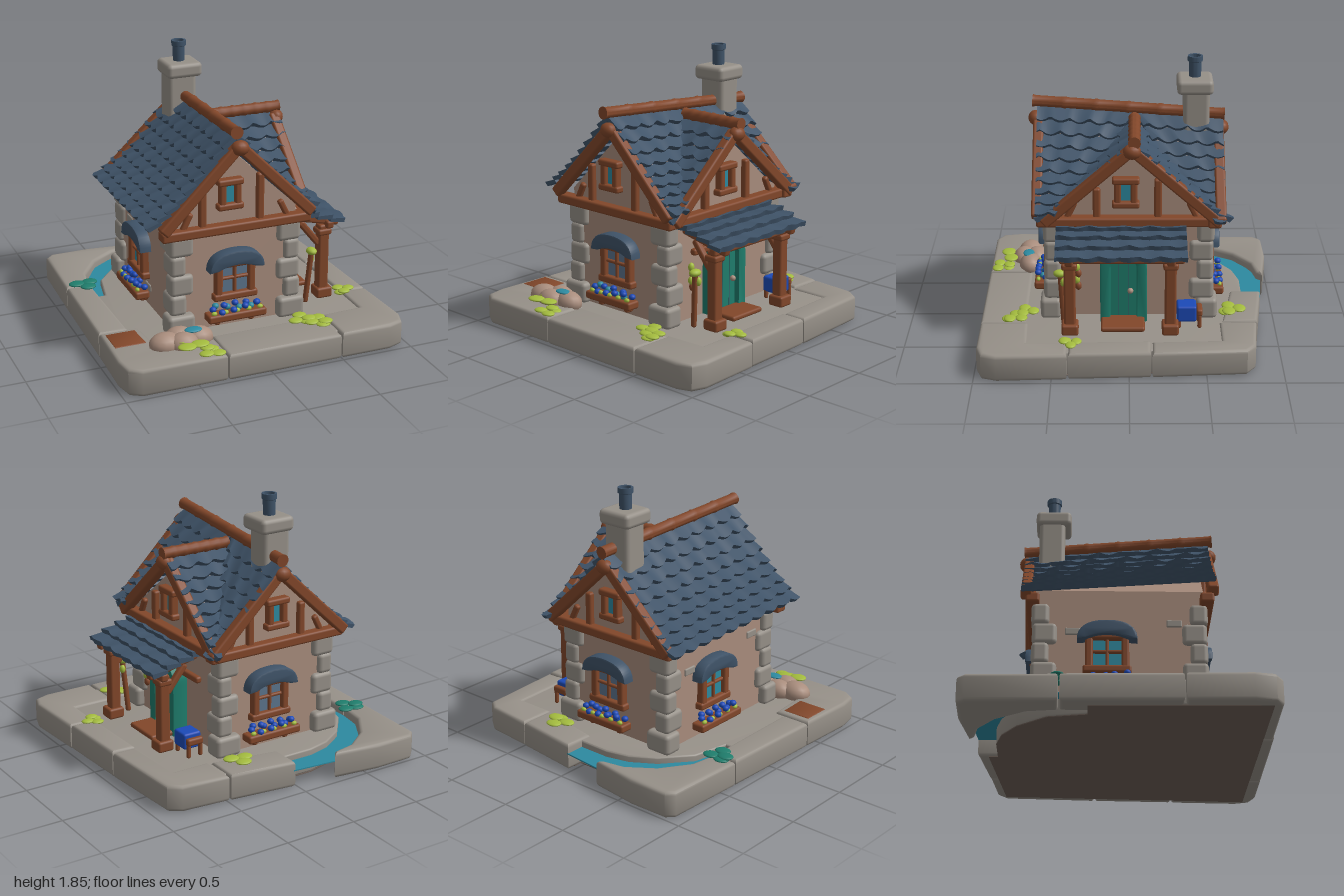
import * as THREE from 'three';
import { toCreasedNormals } from 'three/addons/utils/BufferGeometryUtils.js';
import { RoundedBoxGeometry } from 'three/addons/geometries/RoundedBoxGeometry.js';

const colours = {
  stone: 0x969088, plaster: 0xa98d7d, wood: 0x82472a, slate: 0x3f5368, door: 0x1f7d6c,
  water: 0x2d8aa0, flower: 0x1c4ab8, leaf: 0xa3bb3e, glass: 0x5c748c, earth: 0x6e6058,
};
const mat = {};
for (const [name, color] of Object.entries(colours)) {
  mat[name] = new THREE.MeshStandardMaterial({ color });
  mat[name].name = name;
}
mat.slate.side = THREE.DoubleSide;
const V = (a) => new THREE.Vector3(...a);
const lerp = THREE.MathUtils.lerp;

function add(parent, name, geo, material, pos = [0, 0, 0]) {
  const m = new THREE.Mesh(geo, material);
  m.name = name;
  m.position.set(...pos);
  parent.add(m);
  return m;
}
function box(parent, name, material, size, pos, r = 0.015) {
  return add(parent, name, new RoundedBoxGeometry(...size, 2, Math.min(r, Math.min(...size) * 0.45)), material, pos);
}
// Squared timber between two points
function beam(parent, name, a, b, w = 0.06, d = w) {
  const A = V(a), B = V(b), dir = B.clone().sub(A);
  const m = box(parent, name, mat.wood, [w, dir.length(), d], A.clone().add(B).multiplyScalar(0.5).toArray());
  m.quaternion.setFromUnitVectors(V([0, 1, 0]), dir.normalize());
  return m;
}
function blob(parent, name, material, pos, scale) {
  const m = add(parent, name, new THREE.SphereGeometry(1, 14, 10), material, pos);
  m.scale.set(...scale);
  return m;
}
// Round log with a few raised bands
function log(parent, name, a, b, r) {
  const A = V(a), B = V(b), len = A.distanceTo(B), pts = [[0, 0]];
  for (let i = 0; i <= 6; i++) {
    const y = (i / 6) * len;
    pts.push([r, Math.max(0, y - 0.02)], [r * 1.13, y], [r, Math.min(len, y + 0.02)]);
  }
  pts.push([0, len]);
  const g = new THREE.LatheGeometry(pts.map(p => new THREE.Vector2(...p)), 14);
  const m = add(parent, name, toCreasedNormals(g, 0.7), mat.wood, a);
  m.quaternion.setFromUnitVectors(V([0, 1, 0]), B.sub(A).normalize());
}
// Flat slab from an outline in x and z
function slab(parent, name, material, outline, y0, y1, bevel = 0.025) {
  const s = new THREE.Shape(outline.map(([x, z]) => new THREE.Vector2(x, -z)));
  const g = new THREE.ExtrudeGeometry(s, {
    depth: y1 - y0 - 2 * bevel, bevelEnabled: bevel > 0, bevelThickness: bevel, bevelSize: bevel,
    bevelOffset: -bevel, bevelSegments: 3,
  });
  g.rotateX(-Math.PI / 2);
  return add(parent, name, toCreasedNormals(g, 0.8), material, [0, y0 + bevel, 0]);
}
// Rows of scalloped shingles; P(s, v) gives a point, v runs down the slope
function roofSlope(parent, name, P, normal, range, rows) {
  const N = V(normal).normalize(), pos = [], idx = [];
  for (let i = 0; i < rows; i++) {
    const v0 = i / rows, v1 = (i + 1) / rows, [a0, b0] = range(v0), [a1, b1] = range(v1);
    const n = Math.max(2, Math.ceil((b0 - a0) / 0.022));
    const base = pos.length / 3;
    for (let j = 0; j <= n; j++) {
      const s0 = lerp(a0, b0, j / n), s1 = lerp(a1, b1, j / n);
      const vb = v1 + 0.035 * Math.abs(Math.sin(Math.PI * (s1 / 0.13 + i * 0.5))) - 0.01;
      const lift = 0.036 + 0.006 * Math.sin(s1 * 31 + i * 7);
      for (const [s, v, o] of [[s0, v0, 0.004], [s1, vb, lift], [s1, vb, 0], [s0, v0, -0.02]])
        pos.push(...P(s, v).addScaledVector(N, o).toArray());
      for (let k = 0; k < 4 && j < n; k++) {
        const p = base + j * 4 + k, q = base + j * 4 + (k + 1) % 4;
        idx.push(p, q, p + 4, q, q + 4, p + 4);
      }
    }
    const e = base + n * 4;
    idx.push(base, base + 2, base + 1, base, base + 3, base + 2, e, e + 1, e + 2, e, e + 2, e + 3);
  }
  const g = new THREE.BufferGeometry();
  g.setAttribute('position', new THREE.Float32BufferAttribute(pos, 3));
  g.setIndex(idx);
  add(parent, name, toCreasedNormals(g, 0.6), mat.slate);
}
function side(parent, name, pos, turn) {
  const g = new THREE.Group();
  g.name = name;
  g.position.set(...pos);
  g.rotation.y = turn;
  parent.add(g);
  return g;
}
// Framed window facing +z, centred on its own origin
function frame(g, w, h, t, glass) {
  box(g, 'windowPane', glass, [w - t, h - t, 0.009], [0, 0, 0.012], 0.002);
  for (const s of [-1, 1]) {
    box(g, 'windowJamb', mat.wood, [t, h, 0.06], [s * (w - t) / 2, 0, 0.02]);
    box(g, 'windowRail', mat.wood, [w + 0.03, t, 0.07], [0, s * (h - t) / 2, 0.02]);
  }
}
function largeWindow(parent, name, pos, turn, glass, teal) {
  const g = side(parent, name, pos, turn);
  frame(g, 0.28, 0.28, 0.05, glass);
  box(g, 'mullion', mat.wood, [0.022, 0.22, 0.03], [0, 0, 0.02]);
  box(g, 'transom', mat.wood, [0.22, 0.022, 0.03], [0, 0.01, 0.02]);
  // Arched hood
  const s = new THREE.Shape();
  s.moveTo(-0.18, 0.09);
  s.quadraticCurveTo(-0.17, 0.2, 0, 0.2);
  s.quadraticCurveTo(0.17, 0.2, 0.18, 0.09);
  s.lineTo(0.14, 0.095);
  s.quadraticCurveTo(0, 0.155, -0.14, 0.095);
  const hood = new THREE.ExtrudeGeometry(s, { depth: 0.07, bevelSize: 0.012, bevelThickness: 0.012, bevelSegments: 2 });
  add(g, 'windowHood', toCreasedNormals(hood, 0.7), mat.slate);
  // Planter
  box(g, 'planter', mat.wood, [0.41, 0.055, 0.1], [-0.01, -0.235, 0.065]);
  for (const x of [-0.13, 0.11]) box(g, 'planterBracket', mat.wood, [0.04, 0.06, 0.06], [x, -0.275, 0.03]);
  for (let i = 0; i < 13; i++) {
    const x = -0.17 + i * 0.027, y = -0.18 + 0.018 * Math.sin(i * 2.4), z = 0.065 + 0.03 * Math.sin(i * 4.1);
    blob(g, 'blossom', teal && i % 3 === 1 ? mat.water : mat.flower, [x, y, z], [0.023, 0.02, 0.023]);
    if (i % 3 === 0) blob(g, 'planterLeaf', mat.leaf, [x, -0.2, 0.09], [0.02, 0.015, 0.015]);
  }
}
// Timber-framed gable facing +z; y is absolute
function gable(parent, name, pos, turn, half, low, apex, posts, winX, winY) {
  const g = side(parent, name, pos, turn);
  beam(g, 'tieBeam', [-half - 0.02, 0.87, 0.02], [half + 0.02, 0.87, 0.02], 0.065, 0.09);
  for (const s of [-1, 1]) {
    beam(g, 'bargeBoard', [s * (half + 0.02), low, 0.06], [0, apex, 0.06], 0.075, 0.07);
    beam(g, 'brace', [s * (half - 0.13), 0.88, 0.01], [s * (half - 0.19), 1.0, 0.01], 0.04, 0.04);
  }
  for (const x of posts) beam(g, 'gablePost', [x, 0.88, 0.01], [x, apex - Math.abs(x) * 1.05 - 0.04, 0.01], 0.05, 0.05);
  blob(g, 'gableKnob', mat.wood, [0, apex - 0.01, 0.08], [0.06, 0.05, 0.05]);
  frame(side(g, 'atticWindow', [winX, winY, 0], 0), 0.15, 0.21, 0.045, mat.water);
}
function leaves(parent, name, x, z, r, material = mat.leaf, y = 0.185) {
  for (let i = 0; i < 4; i++) {
    const a = i * 1.9 + x * 3;
    blob(parent, name, material, [x + Math.cos(a) * r * 0.6, y + 0.004 * i, z + Math.sin(a) * r * 0.6], [r * 0.62, 0.014, r * 0.5]);
  }
}

export function createModel() {
  const model = new THREE.Group();
  model.name = 'cottage';

  // Ground: yard, kerb stones and stream
  const bank = [[-0.73, -0.2], [-0.68, -0.45], [-0.52, -0.64], [-0.36, -0.74], [-0.2, -0.78], [0.03, -0.78]];
  const yard = [...bank, [0.03, -0.84], [0.84, -0.76], [0.92, 0.9], [-0.9, 0.92], [-0.88, -0.2]];
  slab(model, 'yard', mat.stone, yard, 0.005, 0.168, 0.012);
  slab(model, 'underside', mat.earth, yard, 0, 0.006, 0);
  slab(model, 'stream', mat.water, [[-0.8, -0.2], ...bank, [0.03, -0.91], [-0.3, -0.94], [-0.6, -0.8], [-0.78, -0.5]], 0.115, 0.123, 0);
  const kerbs = [
    [[-0.93, -0.94], [-0.88, -0.99], [-0.6, -0.995], [-0.27, -0.95], [-0.3, -0.91], [-0.45, -0.88], [-0.62, -0.76], [-0.75, -0.57], [-0.78, -0.38], [-0.95, -0.38]],
    [[-0.95, -0.37], [-0.78, -0.37], [-0.77, 0.38], [-0.97, 0.38]],
    [[-0.97, 0.39], [-0.7, 0.39], [-0.68, 0.64], [-0.31, 0.66], [-0.31, 0.98], [-0.88, 0.98], [-0.96, 0.93], [-0.985, 0.8]],
    [[-0.3, 0.68], [0.49, 0.68], [0.49, 0.985], [-0.3, 0.985]],
    [[0.5, 0.67], [0.78, 0.66], [0.78, 0.4], [0.965, 0.4], [0.985, 0.85], [0.95, 0.95], [0.85, 0.985], [0.5, 0.985]],
    [[0.77, -0.14], [0.94, -0.14], [0.96, 0.39], [0.78, 0.39]],
    [[0.49, -0.6], [0.49, -0.85], [0.82, -0.82], [0.9, -0.76], [0.94, -0.15], [0.77, -0.15], [0.75, -0.6]],
    [[0.02, -0.7], [0.02, -0.91], [0.48, -0.855], [0.48, -0.62]],
  ];
  kerbs.forEach((k, i) => slab(model, 'kerbStone', mat.stone, k, 0.002, 0.182 + (i % 3) * 0.003));
  slab(model, 'doorMat', mat.wood, [[-0.94, 0.43], [-0.74, 0.43], [-0.73, 0.63], [-0.94, 0.63]], 0.15, 0.193, 0.008);

  // Walls with gable tops
  box(model, 'walls', mat.plaster, [0.85, 0.72, 1.06], [-0.075, 0.51, 0]);
  const prism = (name, pts, len) => add(model, name, new THREE.ExtrudeGeometry(
    new THREE.Shape(pts.map(p => new THREE.Vector2(...p))), { depth: len, bevelEnabled: false }), mat.plaster);
  prism('mainAttic', [[-0.5, 0.85], [0.35, 0.85], [0.35, 0.95], [-0.08, 1.36], [-0.5, 0.95]], 1.08).position.z = -0.54;
  const cross = prism('crossAttic', [[-0.52, 0.85], [0.52, 0.85], [0.52, 0.9], [0.03, 1.33], [-0.52, 0.9]], 0.42);
  cross.rotation.y = Math.PI / 2;
  cross.position.x = -0.05;

  // Corner stones
  for (const sx of [-1, 1]) for (const sz of [-1, 1]) for (let i = 0; i < 5; i++) {
    const w = i % 2 ? 0.11 : 0.16, d = i % 2 ? 0.16 : 0.11, out = i === 0 ? 0.03 : 0.003 * ((i * 2) % 3);
    box(model, 'cornerStone', mat.stone, [w + out, 0.145, d + out],
      [-0.075 + sx * (0.455 + out / 2 - w / 2), 0.232 + i * 0.136, sz * (0.56 + out / 2 - d / 2)], 0.03);
  }
  [[0.35, 0.72], [0.05, 0.3], [-0.3, 0.66]].forEach(([z, y]) => box(model, 'wallBrick', mat.stone, [0.02, 0.05, 0.1], [-0.5, y, z]));

  // Main roof
  const ridge = (z) => [-0.07 - 0.05 * z, 1.465 + 0.06 * z];
  const mainP = (s) => (z, v) => {
    const [rx, ry] = ridge(z), ex = s < 0 ? -0.655 - 0.04 * z : 0.465;
    return V([lerp(rx, ex, v), lerp(ry, 0.915 + 0.05 * z, v) - 0.045 * Math.sin(Math.PI * v), z]);
  };
  roofSlope(model, 'roofLeft', mainP(-1), [-0.67, 0.74, 0], () => [-0.63, 0.61], 9);
  roofSlope(model, 'roofRightFront', mainP(1), [0.67, 0.74, 0], v => [-0.04 + 0.52 * v, 0.61], 9);
  roofSlope(model, 'roofRightBack', mainP(1), [0.67, 0.74, 0], v => [-0.63, -0.04 - 0.52 * v], 9);
  log(model, 'mainRidge', [-0.05, 1.455, -0.64], [-0.11, 1.53, 0.64], 0.038);

  // Cross roof
  for (const s of [-1, 1]) roofSlope(model, 'crossRoof',
    (x, v) => V([x, lerp(1.4, 0.895, v) - 0.03 * Math.sin(Math.PI * v), -0.03 + s * 0.61 * v]),
    [0, 0.77, s * 0.64], v => [-0.05 + 0.48 * Math.min(v, 1), 0.465], 9);
  log(model, 'crossRidge', [-0.02, 1.435, -0.04], [0.48, 1.435, -0.035], 0.037);

  // Gables
  gable(model, 'frontGable', [-0.08, 0, 0.54], 0, 0.5, 0.91, 1.43, [-0.23, 0.17], -0.045, 1.1);
  gable(model, 'backGable', [-0.06, 0, -0.54], Math.PI, 0.5, 0.88, 1.37, [-0.2, 0.2], 0, 1.08);
  gable(model, 'sideGable', [0.375, 0, -0.02], Math.PI / 2, 0.56, 0.87, 1.38, [-0.23, 0.17], -0.04, 1.07);

  // Large windows
  largeWindow(model, 'frontWindow', [-0.085, 0.5, 0.53], 0, mat.glass, true);
  largeWindow(model, 'backWindow', [-0.02, 0.5, -0.53], Math.PI, mat.glass, false);
  largeWindow(model, 'leftWindow', [-0.5, 0.5, -0.08], -Math.PI / 2, mat.water, false);

  // Chimney
  box(model, 'chimneyShaft', mat.stone, [0.2, 0.4, 0.175], [-0.08, 1.45, -0.45], 0.03);
  box(model, 'chimneyCap', mat.stone, [0.25, 0.1, 0.24], [-0.075, 1.66, -0.44], 0.03);
  const pot = [[0, 0], [0.04, 0], [0.042, 0.11], [0.05, 0.115], [0.05, 0.15], [0.036, 0.15], [0.034, 0.1], [0, 0.1]];
  add(model, 'chimneyPot', toCreasedNormals(new THREE.LatheGeometry(pot.map(p => new THREE.Vector2(...p)), 18), 0.6), mat.slate, [-0.08, 1.7, -0.44]);

  // Arched door
  const door = side(model, 'door', [0.34, 0.17, 0.035], Math.PI / 2);
  const arch = (w, h) => {
    const s = new THREE.Shape();
    s.moveTo(-w, 0);
    s.lineTo(w, 0);
    s.lineTo(w, h - w);
    s.absellipse(0, h - w * 0.8, w, w * 0.8, 0, Math.PI);
    return s;
  };
  const ring = arch(0.147, 0.5);
  ring.holes.push(arch(0.095, 0.46));
  add(door, 'doorFrame', toCreasedNormals(new THREE.ExtrudeGeometry(ring, { depth: 0.11, bevelSize: 0.008, bevelThickness: 0.008, bevelSegments: 2 }), 0.7), mat.door);
  add(door, 'doorLeaf', new THREE.ExtrudeGeometry(arch(0.1, 0.465), { depth: 0.08, bevelEnabled: false }), mat.door);
  for (const x of [-0.035, 0.03]) box(door, 'doorGroove', mat.slate, [0.004, 0.4, 0.004], [x, 0.21, 0.081], 0.001);
  blob(door, 'doorHandle', mat.plaster, [0.045, 0.215, 0.1], [0.02, 0.02, 0.02]);
  box(model, 'doorstep', mat.wood, [0.2, 0.035, 0.29], [0.52, 0.185, 0.04]);

  // Porch
  roofSlope(model, 'porchRoof', (z, v) => V([lerp(0.36, 0.745, v), lerp(0.835, 0.735, v) + 0.015 * Math.sin(Math.PI * v), z]),
    [0.25, 0.97, 0], () => [-0.375, 0.475], 4);
  beam(model, 'porchBeam', [0.66, 0.715, -0.36], [0.66, 0.715, 0.45], 0.055);
  beam(model, 'doorLintel', [0.385, 0.63, -0.33], [0.385, 0.63, 0.33], 0.045);
  for (const z of [-0.27, 0.385]) {
    beam(model, 'porchPost', [0.63, 0.2, z], [0.63, 0.71, z], 0.075);
    box(model, 'postFoot', mat.wood, [0.115, 0.075, 0.11], [0.635, 0.215, z]);
    box(model, 'postHead', mat.wood, [0.1, 0.045, 0.1], [0.63, 0.66, z]);
    beam(model, 'porchRafter', [0.37, 0.8, z], [0.74, 0.715, z], 0.055);
    beam(model, 'porchBrace', [0.6, 0.57, z], [0.46, 0.745, z], 0.045);
  }

  // Stool with cloth
  box(model, 'stoolCloth', mat.flower, [0.13, 0.11, 0.13], [0.51, 0.275, -0.38]);
  box(model, 'stoolBack', mat.wood, [0.12, 0.05, 0.04], [0.51, 0.28, -0.465]);
  for (const x of [0.465, 0.555]) for (const z of [-0.33, -0.465]) beam(model, 'stoolLeg', [x, 0.17, z], [x, 0.27, z], 0.028);

  // Climbing plant on a stake, and wall vine
  beam(model, 'stake', [0.49, 0.17, 0.43], [0.52, 0.55, 0.45], 0.035);
  blob(model, 'stakeLeaf', mat.leaf, [0.52, 0.55, 0.45], [0.035, 0.025, 0.045]);
  blob(model, 'stakeLeaf', mat.leaf, [0.53, 0.49, 0.43], [0.02, 0.03, 0.02]);
  for (let i = 0; i < 4; i++) blob(model, 'wallVine', i % 2 ? mat.leaf : mat.wood, [0.39, 0.4 + i * 0.045, 0.335 + 0.01 * (i % 2)], [0.02, 0.03, 0.022]);

  // Rocks, little pond and plants
  [[-0.63, 0.71, 0.11], [-0.52, 0.66, 0.1], [-0.4, 0.7, 0.1], [-0.52, 0.75, 0.1]].forEach(([x, z, r]) =>
    blob(model, 'rock', mat.plaster, [x, 0.2, z], [r, 0.075, r * 0.8]));
  blob(model, 'pond', mat.water, [-0.44, 0.268, 0.715], [0.06, 0.012, 0.04]);
  leaves(model, 'bush', -0.5, 0.82, 0.1, mat.leaf, 0.225);
  leaves(model, 'bush', -0.39, 0.9, 0.08);
  leaves(model, 'weed', 0.34, 0.69, 0.08);
  leaves(model, 'weed', 0.43, 0.76, 0.08);
  leaves(model, 'weed', 0.31, -0.69, 0.09);
  leaves(model, 'weed', 0.8, 0.38, 0.07);
  leaves(model, 'lily', -0.82, -0.38, 0.09, mat.door);
  return model;
}
